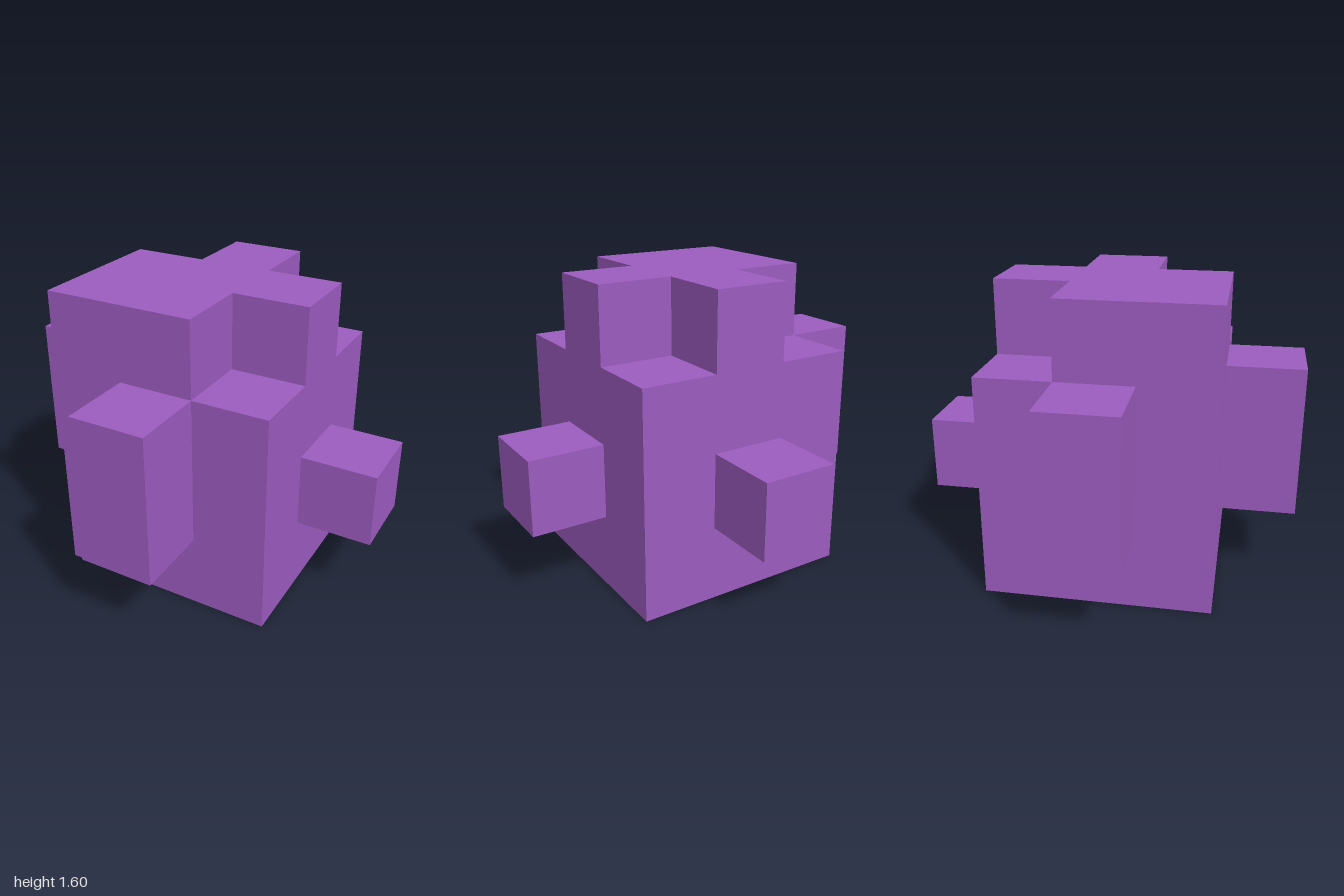
import * as THREE from 'three';

export function createModel() {
  const group = new THREE.Group();
  const purple = new THREE.MeshStandardMaterial({ color: 0x9b5bbe });
  purple.name = 'purple';

  const add = (name, geometry, x, y, z) => {
    const mesh = new THREE.Mesh(geometry, purple);
    mesh.name = name;
    mesh.position.set(x, y, z);
    group.add(mesh);
  };

  // Cubic body
  add('body', new THREE.BoxGeometry(1.2, 1.2, 1.2), 0, 0.6, 0);

  // Top layer with three corners notched out; outline is (x, -z)
  const outline = [
    [-0.6, -0.6], [0.2, -0.6], [0.2, -0.2], [0.6, -0.2], [0.6, 0.2],
    [0.2, 0.2], [0.2, 0.6], [-0.2, 0.6], [-0.2, 0.2], [-0.6, 0.2],
  ].map(([x, y]) => new THREE.Vector2(x, y));
  const crown = new THREE.ExtrudeGeometry(new THREE.Shape(outline), { depth: 0.4, bevelEnabled: false });
  crown.rotateX(-Math.PI / 2);
  add('crown', crown, 0, 1.2, 0);

  // Blocks standing out of each side: tall on front and right, short on back and left
  const blocks = [
    ['frontBlock', 0, 0.8, 0.8],
    ['rightBlock', -0.8, 0.8, 0],
    ['backBlock', 0, 0.4, -0.8],
    ['leftBlock', 0.8, 0.4, 0],
  ];
  for (const [name, x, height, z] of blocks) {
    add(name, new THREE.BoxGeometry(0.4, height, 0.4), x, 0.4 + height / 2, z);
  }

  return group;
}
